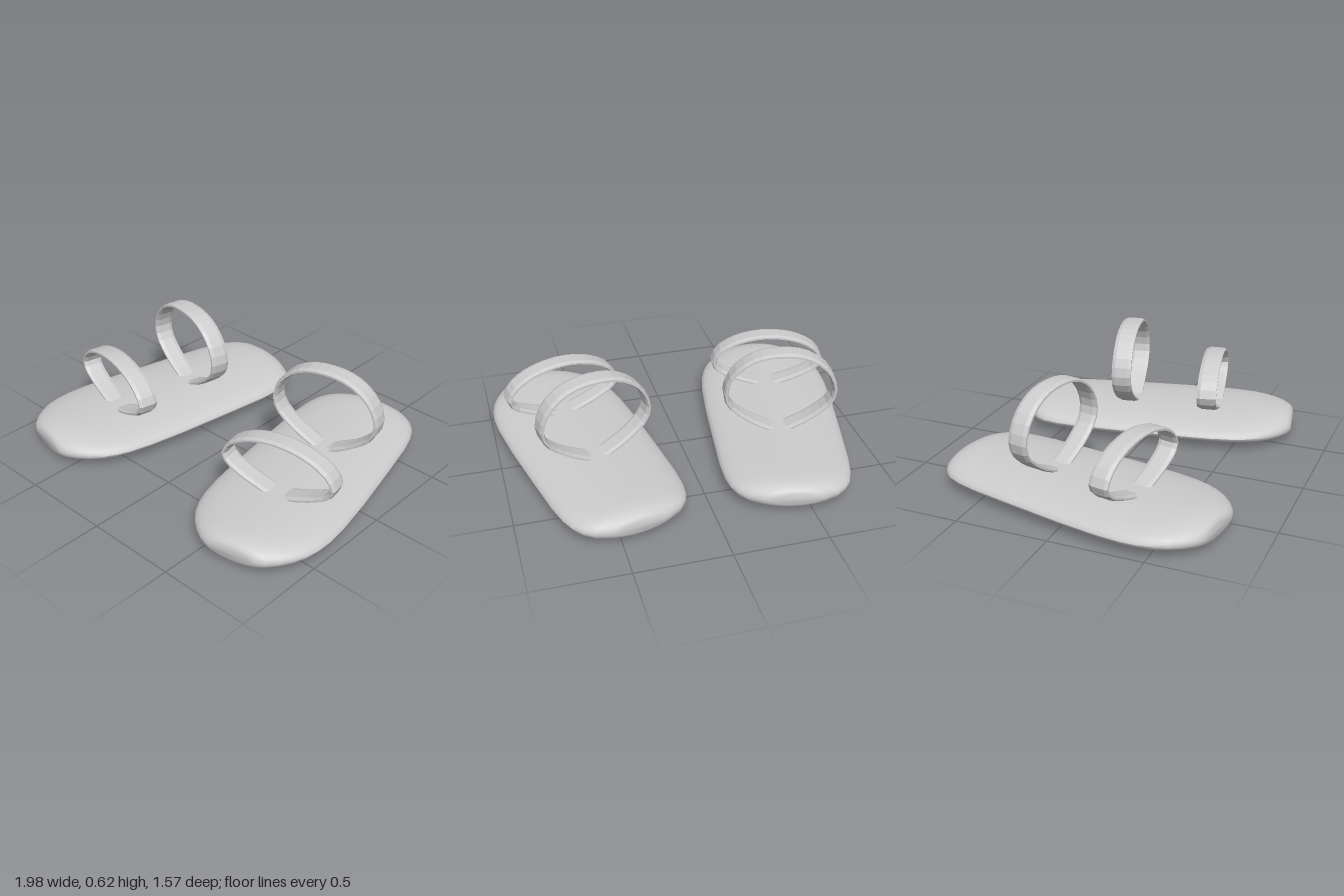
import * as THREE from 'three';
import { toCreasedNormals } from 'three/addons/utils/BufferGeometryUtils.js';

// Skin a list of cross-sections; closed joins last to first, otherwise the ends are capped
function loft(sections, closed) {
  const n = sections[0].length, m = sections.length, pos = [], idx = [];
  sections.forEach(s => s.forEach(p => pos.push(p.x, p.y, p.z)));
  for (let i = 0; i < (closed ? m : m - 1); i++) {
    const a = i * n, b = ((i + 1) % m) * n;
    for (let j = 0; j < n; j++) {
      const k = (j + 1) % n;
      idx.push(a + j, a + k, b + k, a + j, b + k, b + j);
    }
  }
  if (!closed) {
    const end = (m - 1) * n;
    for (let j = 1; j < n - 1; j++) idx.push(0, j + 1, j, end, end + j, end + j + 1);
  }
  const g = new THREE.BufferGeometry();
  g.setAttribute('position', new THREE.Float32BufferAttribute(pos, 3));
  g.setIndex(idx);
  return g;
}

// Sole: elliptical sections along z as [z, half width, half thickness]
function soleGeometry() {
  const stations = [
    [-0.777, 0.13, 0.032], [-0.768, 0.165, 0.05], [-0.74, 0.235, 0.066], [-0.70, 0.28, 0.073],
    [-0.65, 0.31, 0.075], [-0.57, 0.333, 0.075], [-0.45, 0.348, 0.075], [-0.2, 0.36, 0.075],
    [0.1, 0.372, 0.075], [0.33, 0.372, 0.075], [0.45, 0.362, 0.075], [0.53, 0.345, 0.075],
    [0.60, 0.318, 0.075], [0.66, 0.28, 0.074], [0.71, 0.235, 0.07], [0.75, 0.185, 0.06],
    [0.767, 0.15, 0.048], [0.774, 0.125, 0.032],
  ];
  const sides = 40;
  const sections = stations.map(([z, w, h]) => Array.from({ length: sides }, (_, j) => {
    const t = j / sides * Math.PI * 2;
    return new THREE.Vector3(w * Math.cos(t), 0.075 + h * Math.sin(t), z);
  }));
  return toCreasedNormals(loft(sections, false), 0.6);
}

// Strap: flat band swept round a symmetric loop; half is its outer right side, bottom to top
function strapGeometry(half) {
  const left = half.slice(1, -1).reverse().map(([x, y]) => [-x, y]);
  const path = new THREE.CatmullRomCurve3(
    [...half, ...left].map(([x, y]) => new THREE.Vector3(x, y, 0)), true);
  const band = [[0.0125, 0.035], [0.0125, -0.035], [0.005, -0.055], [-0.005, -0.055],
    [-0.0125, -0.035], [-0.0125, 0.035], [-0.005, 0.055], [0.005, 0.055]];
  const steps = 32, sections = [];
  for (let i = 0; i < steps; i++) {
    const p = path.getPointAt(i / steps), t = path.getTangentAt(i / steps);
    sections.push(band.map(([d, z]) => new THREE.Vector3(
      p.x + t.y * (d - 0.0125), p.y - t.x * (d - 0.0125), z)));
  }
  const g = loft(sections, true).toNonIndexed();
  g.computeVertexNormals();
  return g;
}

export function createModel() {
  const model = new THREE.Group();
  model.name = 'sandals';
  const grey = new THREE.MeshStandardMaterial({ color: 0xcccccc });
  grey.name = 'light grey';

  const sole = soleGeometry();
  const toe = strapGeometry([[0, 0.118], [0.1, 0.143], [0.2, 0.18], [0.29, 0.23], [0.325, 0.285],
    [0.29, 0.36], [0.2, 0.42], [0.1, 0.45], [0, 0.46]]);
  const ankle = strapGeometry([[0, 0.118], [0.1, 0.155], [0.2, 0.215], [0.285, 0.295], [0.31, 0.375],
    [0.28, 0.475], [0.215, 0.55], [0.12, 0.6], [0, 0.615]]);

  // Two sandals with the toes turned outwards
  for (const side of [1, -1]) {
    const sandal = new THREE.Group();
    sandal.name = side > 0 ? 'leftSandal' : 'rightSandal';
    const add = (name, geometry, z) => {
      const mesh = new THREE.Mesh(geometry, grey);
      mesh.name = name;
      mesh.position.z = z;
      sandal.add(mesh);
    };
    add('sole', sole, 0);
    add('toeStrap', toe, 0.3);
    add('ankleStrap', ankle, -0.19);
    sandal.position.x = side * 0.548;
    sandal.rotation.y = side * THREE.MathUtils.degToRad(11);
    model.add(sandal);
  }
  return model;
}
